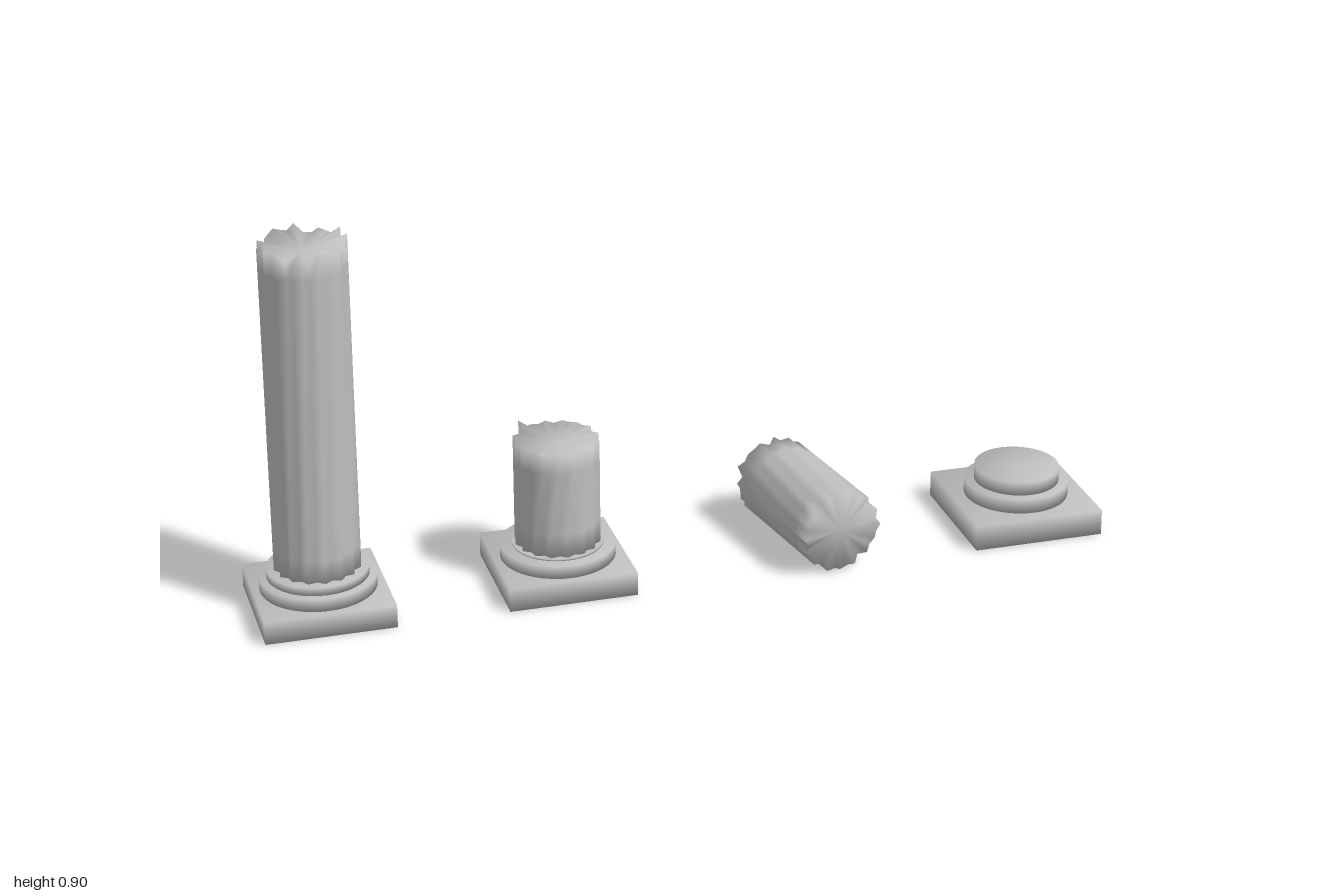
import * as THREE from 'three';
import { mergeVertices } from 'three/addons/utils/BufferGeometryUtils.js';

const stone = new THREE.MeshStandardMaterial({ color: 0xbebebe });
stone.name = 'grey stone';

const FLUTES = 16;
const SEG = FLUTES * 2;
const Z = -0.008;

// Weld corners so the shading rolls softly over every edge
function soften(geometry) {
  geometry.deleteAttribute('normal');
  geometry.deleteAttribute('uv');
  const welded = mergeVertices(geometry, 1e-5);
  welded.computeVertexNormals();
  return welded;
}

function addMesh(parent, name, geometry, y = 0) {
  const mesh = new THREE.Mesh(geometry, stone);
  mesh.name = name;
  mesh.position.y = y;
  parent.add(mesh);
  return mesh;
}

// Square plinth with stacked round mouldings: rings = [radius, bottom, top]
function addBase(parent, size, height, rings) {
  addMesh(parent, 'plinth', soften(new THREE.BoxGeometry(size, height, size)), height / 2);
  rings.forEach(([r, y0, y1], i) => {
    const disc = soften(new THREE.CylinderGeometry(r, r, y1 - y0, 40));
    addMesh(parent, 'moulding' + (i + 1), disc, (y0 + y1) / 2);
  });
}

// Fluted shaft from y0 to y1; top and bottom(i) offset the broken rims
function flutedShaft(y0, y1, top, bottom, topDip, bottomDip) {
  const levels = [
    i => y0 + bottom(i),
    () => y0 + 0.06,
    () => y1 - 0.05,
    i => y1 + top(i),
  ];
  const pos = [], index = [];
  for (const level of levels) {
    for (let i = 0; i < SEG; i++) {
      const a = (i / SEG) * Math.PI * 2;
      const r = i % 2 ? 0.09 : 0.1;
      pos.push(r * Math.cos(a), level(i), r * Math.sin(a));
    }
  }
  const low = levels.length * SEG, high = low + 1;
  pos.push(0, y0 + bottomDip, 0, 0, y1 - topDip, 0);
  const last = (levels.length - 1) * SEG;
  for (let i = 0; i < SEG; i++) {
    const n = (i + 1) % SEG;
    for (let k = 0; k < last; k += SEG) {
      index.push(k + i, k + SEG + i, k + n, k + n, k + SEG + i, k + SEG + n);
    }
    index.push(low, i, n, high, last + n, last + i);
  }
  const g = new THREE.BufferGeometry();
  g.setAttribute('position', new THREE.Float32BufferAttribute(pos, 3));
  g.setIndex(index);
  g.computeVertexNormals();
  return g;
}

// Repeatable rough edge
const rough = (amount, seed) => i =>
  amount * (0.6 * Math.sin(i * 2.1 + seed) + 0.4 * Math.sin(i * 0.8 + seed * 2));
const flat = () => 0;

function place(root, name, x) {
  const group = new THREE.Group();
  group.name = name;
  group.position.set(x, 0, Z);
  root.add(group);
  return group;
}

export function createModel() {
  const root = new THREE.Group();
  root.name = 'ruinedColumns';

  // Tall broken column
  const tall = place(root, 'tallColumn', -0.85);
  addBase(tall, 0.3, 0.055, [[0.134, 0.055, 0.086], [0.117, 0.086, 0.106]]);
  addMesh(tall, 'tallShaft', flutedShaft(0.1, 0.885, rough(0.016, 1.3), flat, 0.015, 0));

  // Short stump with a single splinter standing at the back
  const short = place(root, 'shortColumn', -0.29);
  addBase(short, 0.3, 0.057, [[0.134, 0.057, 0.088], [0.106, 0.088, 0.092]]);
  const chips = rough(0.003, 2);
  const splinter = i => (i === 20 ? 0.022 : chips(i));
  addMesh(short, 'shortShaft', flutedShaft(0.088, 0.348, splinter, flat, 0.008, 0));

  // Fallen drum lying on the ground
  const fallen = place(root, 'fallenDrum', 0.315);
  fallen.position.y = 0.1025;
  fallen.rotation.set(Math.PI / 2 + 0.015, 0.19, 0, 'YXZ');
  addMesh(fallen, 'drum', flutedShaft(-0.165, 0.165, rough(0.01, 0.5), rough(0.012, 4), 0.004, 0.01));

  // Bare base
  const bare = place(root, 'bareBase', 0.8425);
  addBase(bare, 0.315, 0.062, [[0.124, 0.062, 0.098], [0.101, 0.098, 0.132]]);

  return root;
}
